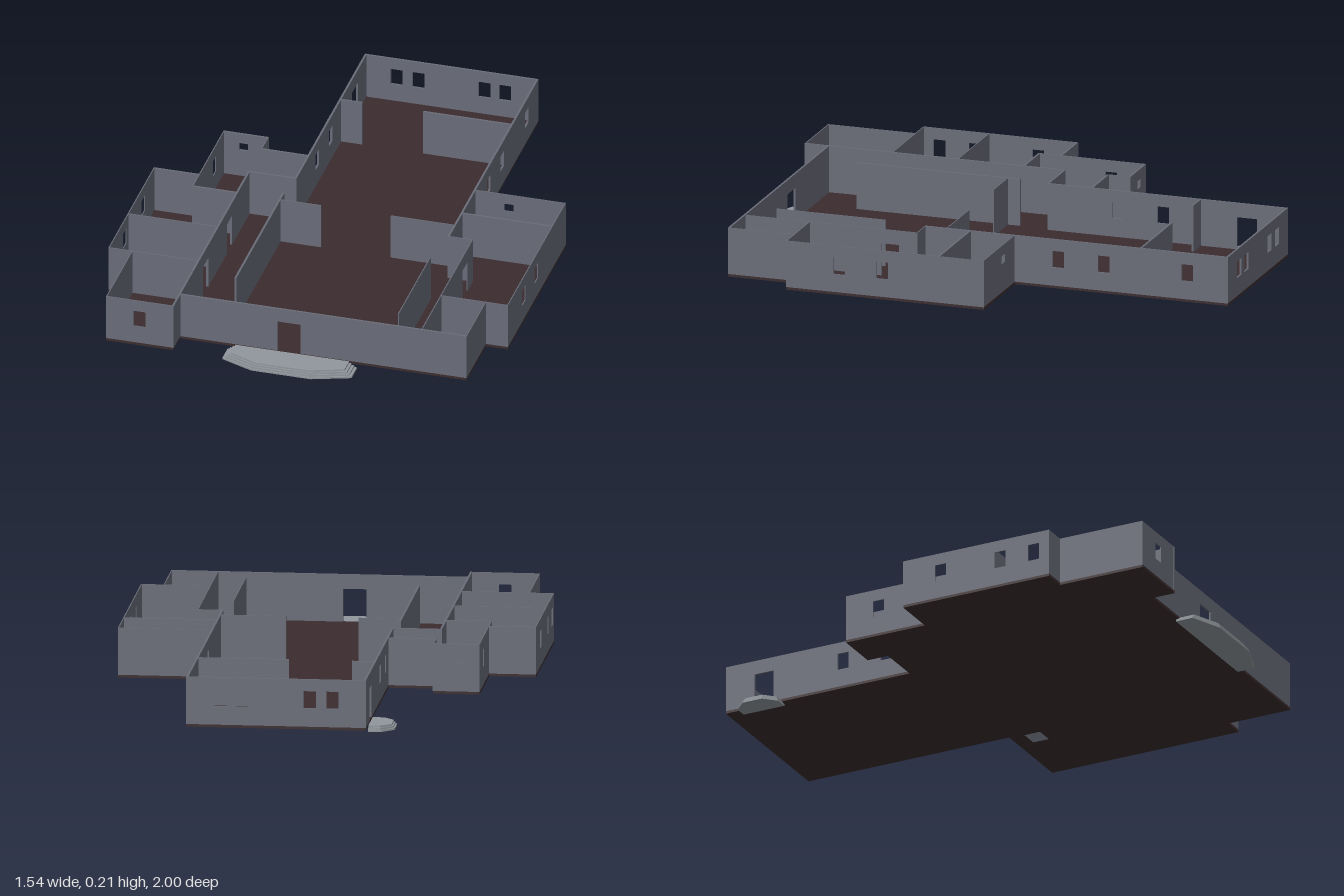
import * as THREE from 'three';
import { mergeGeometries } from 'three/addons/utils/BufferGeometryUtils.js';

const BASE = 0.03, TOP = 0.21;

// A box given by its min and max corners
function span(x0, x1, y0, y1, z0, z1) {
  const g = new THREE.BoxGeometry(x1 - x0, y1 - y0, z1 - z0);
  return g.translate((x0 + x1) / 2, (y0 + y1) / 2, (z0 + z1) / 2);
}

// Openings: [centre along the wall, width, bottom, top]
const win = c => [c, 0.046, 0.1, 0.165];
const vent = c => [c, 0.035, 0.14, 0.17];
const door = (c, w = 0.08) => [c, w, BASE, 0.155];

// A straight wall along x or z, pierced by openings
function wallGeometry(axis, at, from, to, openings, t) {
  const parts = [];
  const put = (a, b, y0, y1) => {
    if (b - a < 1e-4 || y1 - y0 < 1e-4) return;
    parts.push(axis === 'x'
      ? span(a, b, y0, y1, at - t / 2, at + t / 2)
      : span(at - t / 2, at + t / 2, y0, y1, a, b));
  };
  let cursor = from;
  for (const [c, w, y0, y1] of [...openings].sort((p, q) => p[0] - q[0])) {
    put(cursor, c - w / 2, BASE, TOP);
    put(c - w / 2, c + w / 2, BASE, y0);
    put(c - w / 2, c + w / 2, y1, TOP);
    cursor = c + w / 2;
  }
  put(cursor, to, BASE, TOP);
  return mergeGeometries(parts);
}

// Stepped landing: outline points [x, z] shrink toward the doorway point
function landing(points, cx, cz, height, tiers, material, name) {
  const group = new THREE.Group();
  group.name = name;
  for (let i = 0; i < tiers; i++) {
    const s = 1 - 0.12 * i / (tiers - 1);
    const shape = new THREE.Shape(points.map(([x, z]) =>
      new THREE.Vector2(cx + (x - cx) * s, -(cz + (z - cz) * s))));
    const g = new THREE.ExtrudeGeometry(shape, { depth: height / tiers, bevelEnabled: false });
    g.rotateX(-Math.PI / 2).translate(0, i * height / tiers, 0);
    const step = new THREE.Mesh(g, material);
    step.name = 'step' + (i + 1);
    group.add(step);
  }
  return group;
}

export function createModel() {
  const model = new THREE.Group();
  model.name = 'floorPlan';
  const mat = (name, color) => {
    const m = new THREE.MeshStandardMaterial({ color });
    m.name = name;
    return m;
  };
  const wallPaint = mat('slateWall', 0x696c78);
  const floorWood = mat('darkBrownFloor', 0x3b2c2e);
  const stone = mat('greyStone', 0x90979c);

  // Floor slab with the stairwell hole
  const outline = [
    [-0.25, -1], [0.42, -1], [0.42, -0.16], [0.77, -0.16], [0.77, 0.62], [0.685, 0.62],
    [0.685, 0.88], [-0.425, 0.88], [-0.425, 0.97], [-0.685, 0.97], [-0.685, 0.625],
    [-0.775, 0.625], [-0.775, 0.015], [-0.6, 0.015], [-0.6, -0.315], [-0.425, -0.315],
    [-0.425, -0.23], [-0.25, -0.23]];
  const toShape = pts => pts.map(([x, z]) => new THREE.Vector2(x, -z));
  const floorShape = new THREE.Shape(toShape(outline));
  floorShape.holes.push(new THREE.Path(toShape(
    [[0.428, -0.1], [0.5, -0.1], [0.5, -0.035], [0.428, -0.035]])));
  const floorGeo = new THREE.ExtrudeGeometry(floorShape, { depth: 0.01, bevelEnabled: false });
  floorGeo.rotateX(-Math.PI / 2).translate(0, 0.02, 0);
  const floor = new THREE.Mesh(floorGeo, floorWood);
  floor.name = 'floor';
  model.add(floor);

  // Walls: name, direction, position, start, end, openings, thickness
  const T = 0.008, N = 0.004;
  const walls = [
    // Outside walls
    ['backWall', 'x', -0.996, -0.25, 0.42, [win(-0.125), win(-0.04), win(0.215), win(0.295)], T],
    ['hallRightWall', 'z', -0.246, -1, -0.055, [door(-0.84), win(-0.51), win(-0.33)], T],
    ['hallLeftWall', 'z', 0.418, -1, 0.195, [win(-0.84), win(-0.51), win(-0.33)], T],
    ['leftWingBackWall', 'x', -0.157, 0.42, 0.77, [vent(0.55)], N],
    ['leftWingSideWall', 'z', 0.768, -0.16, 0.62, [win(0.24), win(0.41)], N],
    ['leftWingFrontWall', 'x', 0.618, 0.51, 0.77, [], N],
    ['leftCornerWall', 'z', 0.683, 0.62, 0.88, [], N],
    ['frontWall', 'x', 0.876, -0.425, 0.685, [door(-0.003, 0.088)], T],
    ['rightCornerInnerWall', 'z', -0.427, -0.055, 0.97, [door(0.22, 0.07), door(0.54, 0.07)], T],
    ['rightCornerFrontWall', 'x', 0.967, -0.685, -0.425, [win(-0.555)], N],
    ['rightCornerSideWall', 'z', -0.683, 0.625, 0.97, [], N],
    ['rightWingFrontWall', 'x', 0.623, -0.775, -0.425, [], N],
    ['rightWingSideWall', 'z', -0.773, 0.015, 0.625, [win(0.17), win(0.42), win(0.56)], N],
    ['rightWingBackWall', 'x', 0.018, -0.775, -0.6, [], T],
    ['rightAnnexSideWall', 'z', -0.598, -0.315, 0.105, [win(-0.18)], N],
    ['rightAnnexBackWall', 'x', -0.312, -0.6, -0.425, [vent(-0.52)], T],
    ['rightAnnexReturnWall', 'z', -0.427, -0.315, -0.23, [], N],
    ['rightAnnexLinkWall', 'x', -0.227, -0.425, -0.25, [], T],
    // Partitions
    ['hallPartitionA', 'x', -0.655, -0.25, -0.16, [], T],
    ['hallPartitionB', 'x', -0.655, 0.075, 0.42, [], T],
    ['annexInnerWall', 'x', -0.055, -0.425, -0.246, [], T],
    ['annexFrontWall', 'x', 0.105, -0.6, -0.425, [], T],
    ['rightWingPartition', 'x', 0.365, -0.775, -0.425, [], N],
    ['loungeScreen', 'z', -0.26, 0.06, 0.705, [], T],
    ['loungePartitionA', 'x', 0.11, -0.26, -0.1, [], N],
    ['loungePartitionB', 'x', 0.11, 0.17, 0.42, [], N],
    ['leftWingPartition', 'x', 0.018, 0.42, 0.77, [], T],
    ['leftNookWall', 'x', 0.195, 0.415, 0.51, [], N],
    ['leftRoomWall', 'z', 0.51, 0.195, 0.88, [door(0.3, 0.07)], N],
    ['leftScreen', 'z', 0.395, 0.36, 0.79, [], N],
  ];
  for (const [name, axis, at, from, to, openings, t] of walls) {
    const wall = new THREE.Mesh(wallGeometry(axis, at, from, to, openings, t), wallPaint);
    wall.name = name;
    model.add(wall);
  }

  // Stone landings at the front and side doors
  model.add(landing([[-0.24, 0.88], [0.26, 0.88], [0.26, 0.95], [0.115, 1], [-0.115, 1], [-0.24, 0.95]],
    0.01, 0.88, 0.028, 4, stone, 'frontSteps'));
  model.add(landing([[-0.25, -0.925], [-0.25, -0.755], [-0.3, -0.755], [-0.345, -0.8], [-0.345, -0.88], [-0.3, -0.925]],
    -0.25, -0.84, 0.022, 3, stone, 'sideSteps'));
  return model;
}
